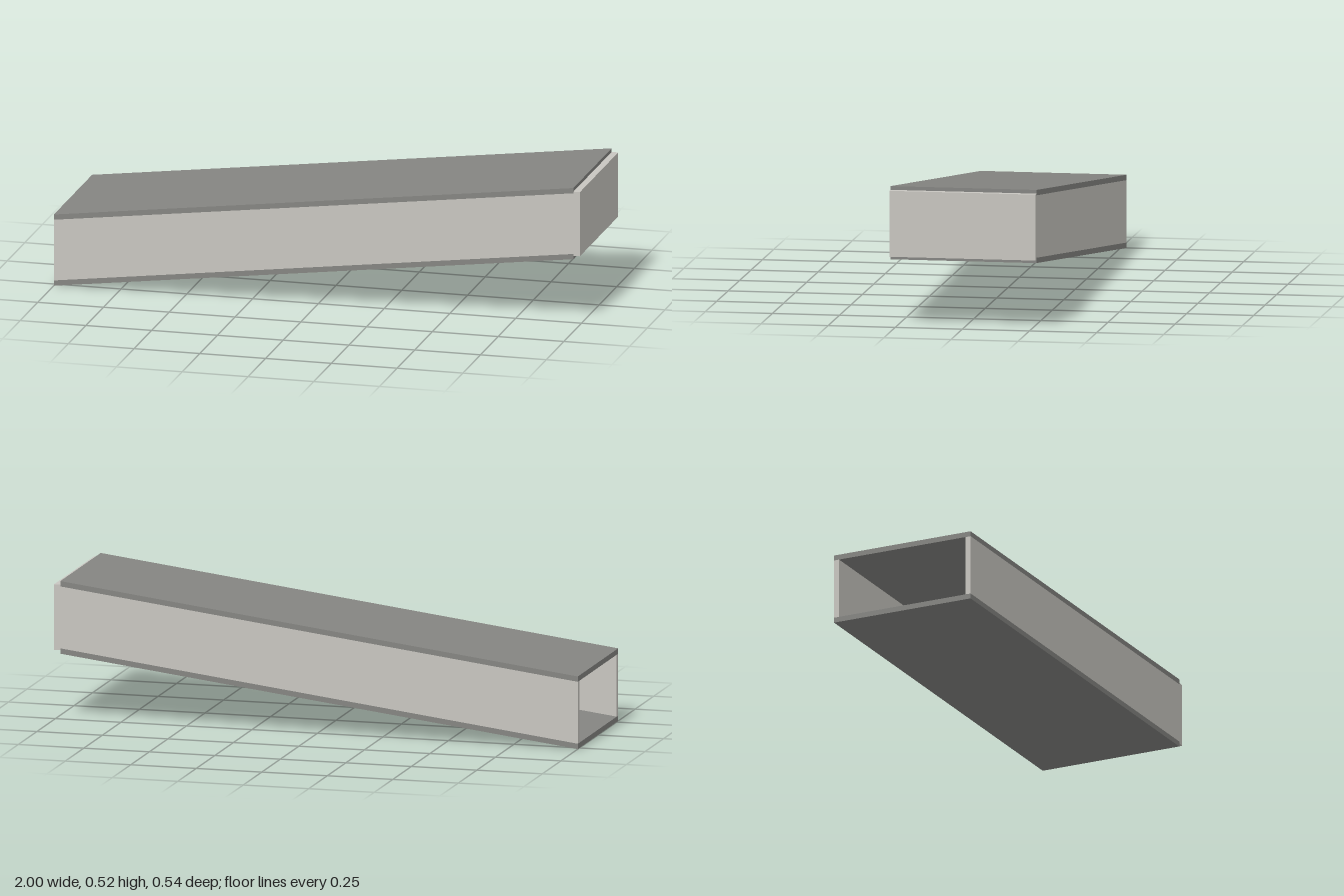
import * as THREE from 'three';

const SLOPE = 0.126;   // rise per unit of length
const HALF = 0.272;    // half width of the passage
const END = 0.975;     // where the slabs stop, just short of the end panel

export function createModel() {
  const group = new THREE.Group();
  group.name = 'slopedPassage';

  const slabGrey = new THREE.MeshStandardMaterial({ color: 0x858582 });
  slabGrey.name = 'slab grey';
  const wallGrey = new THREE.MeshStandardMaterial({ color: 0xc8c6c0 });
  wallGrey.name = 'pale wall grey';

  // Box with vertical ends, sheared to follow the slope; y0 and y1 are heights at x = -1
  function slopedBox(name, material, x0, x1, y0, y1, z0, z1) {
    const geometry = new THREE.BoxGeometry(x1 - x0, y1 - y0, z1 - z0);
    geometry.translate((x0 + x1) / 2, (y0 + y1) / 2, (z0 + z1) / 2);
    const p = geometry.attributes.position;
    for (let i = 0; i < p.count; i++) p.setY(i, p.getY(i) + (p.getX(i) + 1) * SLOPE);
    geometry.computeVertexNormals();
    const mesh = new THREE.Mesh(geometry, material);
    mesh.name = name;
    group.add(mesh);
  }

  // Floor and roof
  slopedBox('floorSlab', slabGrey, -1, END, 0, 0.02, -HALF, HALF);
  slopedBox('roofSlab', slabGrey, -1, END, 0.252, 0.272, -HALF, HALF);

  // Side walls, flush with the slab edges
  slopedBox('leftWall', wallGrey, -1, END, 0.02, 0.252, HALF - 0.02, HALF);
  slopedBox('rightWall', wallGrey, -1, END, 0.02, 0.252, -HALF, -HALF + 0.02);

  // Upright panel closing the high end; the low end stays open
  const panel = new THREE.Mesh(new THREE.BoxGeometry(1 - END, 0.245, HALF * 2), wallGrey);
  panel.position.set((1 + END) / 2, 0.3845, 0);
  panel.name = 'endPanel';
  group.add(panel);

  return group;
}
